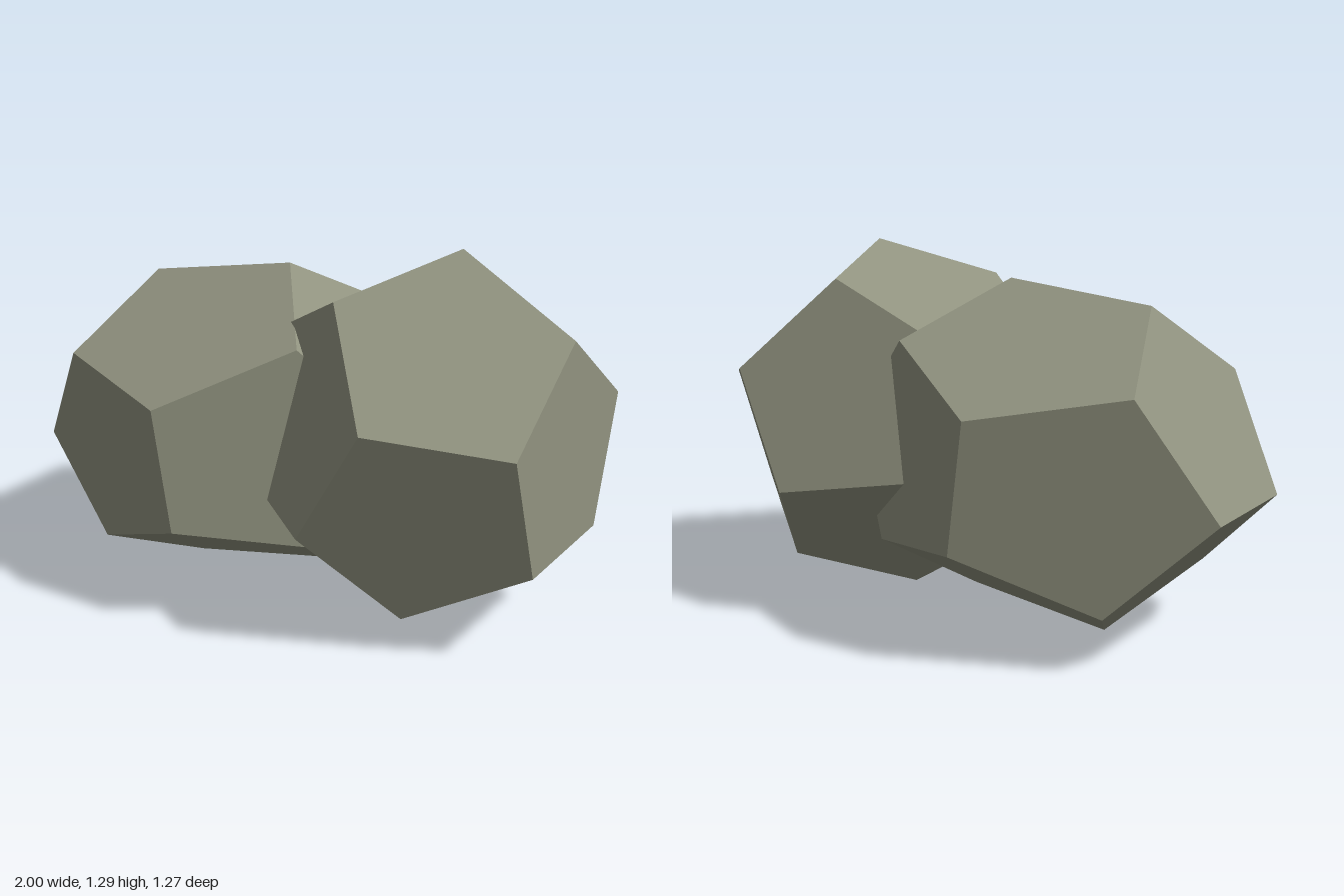
import * as THREE from 'three';

export function createModel() {
  const group = new THREE.Group();
  group.name = 'rockPair';

  const stone = new THREE.MeshStandardMaterial({ color: 0x90927f, flatShading: true });
  stone.name = 'mossy grey stone';

  // One faceted boulder: a dodecahedron with its own stretch and tilt
  function addRock(name, position, rotation, scale) {
    const rock = new THREE.Mesh(new THREE.DodecahedronGeometry(1, 0), stone);
    rock.name = name;
    rock.position.set(...position);
    rock.rotation.set(...rotation);
    rock.scale.set(...scale);
    group.add(rock);
  }

  // Wide, slightly flattened rock on the model's right
  addRock('wideRock', [-0.31, 0.587, -0.033], [0, 0, 0.13], [0.744, 0.597, 0.643]);
  // Rounder rock on the model's left, overlapping the first
  addRock('roundRock', [0.417, 0.654, 0.016], [0.016, -0.224, -0.53], [0.647, 0.647, 0.647]);

  return group;
}
